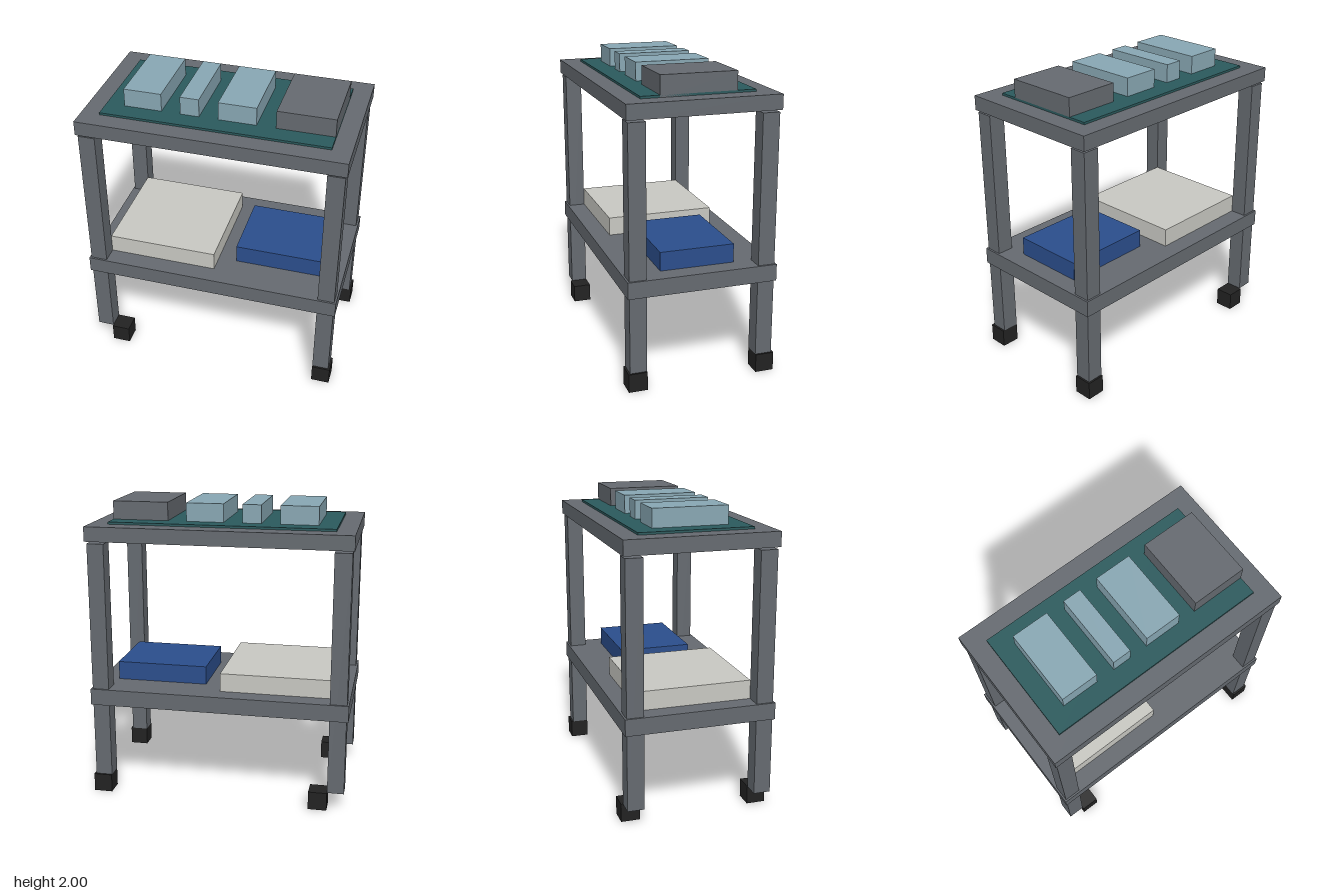
import * as THREE from 'three';

const material = (name, color) => {
  const m = new THREE.MeshStandardMaterial({ color });
  m.name = name;
  return m;
};

export function createModel() {
  const steel = material('steelGrey', 0x656a70);
  const teal = material('teal', 0x2b5a5d);
  const paleBlue = material('paleBlue', 0x88a7b3);
  const blue = material('blue', 0x2b4e8c);
  const white = material('offWhite', 0xc8c8c2);
  const black = material('black', 0x222222);

  const model = new THREE.Group();
  model.name = 'trolley';

  // Box given by its extents along each axis
  const box = (name, mat, [x0, x1], [y0, y1], [z0, z1]) => {
    const mesh = new THREE.Mesh(new THREE.BoxGeometry(x1 - x0, y1 - y0, z1 - z0), mat);
    mesh.position.set((x0 + x1) / 2, (y0 + y1) / 2, (z0 + z1) / 2);
    mesh.name = name;
    model.add(mesh);
  };

  // Shelves and the mat set into the upper one
  box('topShelf', steel, [-0.875, 0.875], [1.765, 1.863], [-0.5, 0.5]);
  box('lowerShelf', steel, [-0.875, 0.875], [0.64, 0.752], [-0.5, 0.5]);
  box('topMat', teal, [-0.75, 0.75], [1.75, 1.878], [-0.375, 0.375]);

  // Legs and wheel blocks; both wheel pairs sit on the same side of their corner
  for (const sx of [-1, 1]) {
    for (const sz of [-1, 1]) {
      const span = (s, a, b) => (s > 0 ? [a, b] : [-b, -a]);
      const wheelX = sx > 0 ? 0.75 : -0.75;
      box('leg', steel, span(sx, 0.75, 0.8625), [0.125, 1.75], span(sz, 0.375, 0.4875));
      box('wheel', black, [wheelX, wheelX + 0.125], [0, 0.125], span(sz, 0.375, 0.5));
    }
  }

  // Items on the upper shelf
  for (const range of [[-0.625, -0.375], [-0.25, -0.125], [0, 0.25]]) {
    box('instrumentBox', paleBlue, range, [1.86, 2], [-0.25, 0.25]);
  }
  box('greyCase', steel, [0.375, 0.75], [1.86, 2], [-0.25, 0.25]);

  // Items on the lower shelf, showing slightly beneath it
  box('whiteBox', white, [-0.75, 0], [0.63, 0.878], [-0.375, 0.375]);
  box('blueBox', blue, [0.125, 0.75], [0.627, 0.878], [-0.25, 0.25]);

  return model;
}
